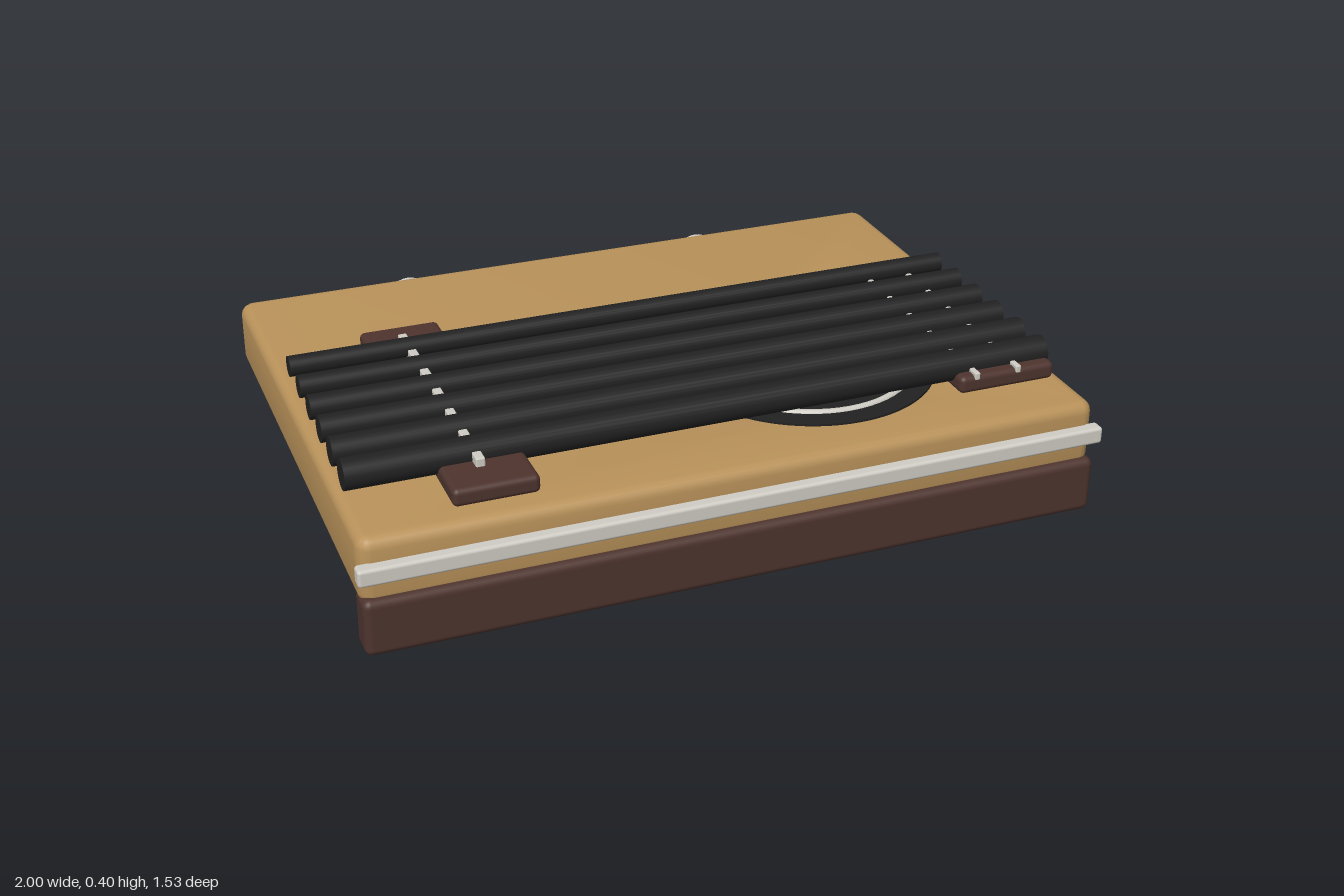
import * as THREE from 'three';
import { toCreasedNormals } from 'three/addons/utils/BufferGeometryUtils.js';
import { RoundedBoxGeometry } from 'three/addons/geometries/RoundedBoxGeometry.js';

function material(name, color) {
  const m = new THREE.MeshStandardMaterial({ color });
  m.name = name;
  return m;
}

export function createModel() {
  const model = new THREE.Group();
  model.name = 'stringedPanel';

  const tan = material('tanWood', 0xb9925a);
  const brown = material('darkWood', 0x4e342e);
  const black = material('black', 0x212121);
  const silver = material('silver', 0xcfccc4);

  function add(name, geometry, mat, x = 0, y = 0, z = 0) {
    const mesh = new THREE.Mesh(geometry, mat);
    mesh.name = name;
    mesh.position.set(x, y, z);
    model.add(mesh);
    return mesh;
  }

  // Rounded box given by its limits on each axis
  function block(name, mat, [x0, x1], [y0, y1], [z0, z1], radius) {
    const geometry = new RoundedBoxGeometry(x1 - x0, y1 - y0, z1 - z0, 3, radius);
    return add(name, geometry, mat, (x0 + x1) / 2, (y0 + y1) / 2, (z0 + z1) / 2);
  }

  // Flat outline extruded upwards (outline y becomes -z)
  function slab(shape, options) {
    const geometry = new THREE.ExtrudeGeometry(shape, options);
    geometry.rotateX(-Math.PI / 2);
    return toCreasedNormals(geometry, 0.6);
  }

  function circleHole(x, y, r) {
    return new THREE.Path().absarc(x, y, r, 0, Math.PI * 2, true);
  }

  const holeX = 0.367, holeZ = 0.258;

  // Body: rounded slab with a round sound hole right through it
  const bevel = 0.03, corner = 0.008;
  const x = 0.99 - bevel - corner;
  const front = -0.735 + bevel + corner, back = 0.687 - bevel - corner;
  const outline = new THREE.Shape();
  outline.absarc(x, front, corner, -Math.PI / 2, 0);
  outline.absarc(x, back, corner, 0, Math.PI / 2);
  outline.absarc(-x, back, corner, Math.PI / 2, Math.PI);
  outline.absarc(-x, front, corner, Math.PI, Math.PI * 1.5);
  outline.closePath();
  outline.holes.push(circleHole(holeX, -holeZ, 0.22 + bevel));
  add('body', slab(outline, {
    depth: 0.183 - 2 * bevel, bevelThickness: bevel, bevelSize: bevel,
    bevelSegments: 4, curveSegments: 24,
  }), tan, 0, 0.129 + bevel, 0);

  // Rosette around the sound hole, with a silver inlay
  const rosette = new THREE.Shape().absarc(holeX, -holeZ, 0.354, 0, Math.PI * 2);
  rosette.holes.push(circleHole(holeX, -holeZ, 0.215));
  add('rosette', slab(rosette, { depth: 0.009, bevelEnabled: false, curveSegments: 48 }),
    black, 0, 0.309, 0);
  const inlay = new THREE.TorusGeometry(0.288, 0.011, 10, 64);
  inlay.rotateX(Math.PI / 2);
  add('rosetteInlay', inlay, silver, holeX, 0.315, holeZ);

  // Front lip and the metal rail above it
  block('frontLip', brown, [-0.99, 0.99], [0, 0.155], [0.665, 0.755], 0.02);
  block('frontRail', silver, [-1, 1], [0.205, 0.252], [0.725, 0.765], 0.009);

  // Bridge and fretboard blocks under the strings
  block('bridge', brown, [-0.735, -0.513], [0.309, 0.358], [-0.273, 0.66], 0.015);
  block('fretboard', brown, [0.68, 0.96], [0.309, 0.358], [-0.18, 0.567], 0.015);

  // Saddle and frets
  const across = [-0.175, 0.567];
  block('saddle', silver, [-0.649, -0.625], [0.345, 0.381], across, 0.004);
  for (const fx of [0.728, 0.85]) {
    block('fret', silver, [fx - 0.008, fx + 0.008], [0.345, 0.367], across, 0.004);
  }

  // Six strings, thickest at the front, level along their tops
  for (let i = 0; i < 6; i++) {
    const r = 0.041 - i * 0.0026;
    const string = new THREE.CylinderGeometry(r, r, 1.925, 24);
    string.rotateZ(Math.PI / 2);
    add('string', string, black, -0.004, 0.404 - r, 0.493 - i * 0.118);
  }

  // Round knobs on the back edge
  for (const kx of [-0.47, 0.462]) {
    const knob = new THREE.CylinderGeometry(0.068, 0.068, 0.105, 32);
    knob.rotateX(Math.PI / 2);
    add('backKnob', knob, silver, kx, 0.203, -0.7125);
  }

  return model;
}
